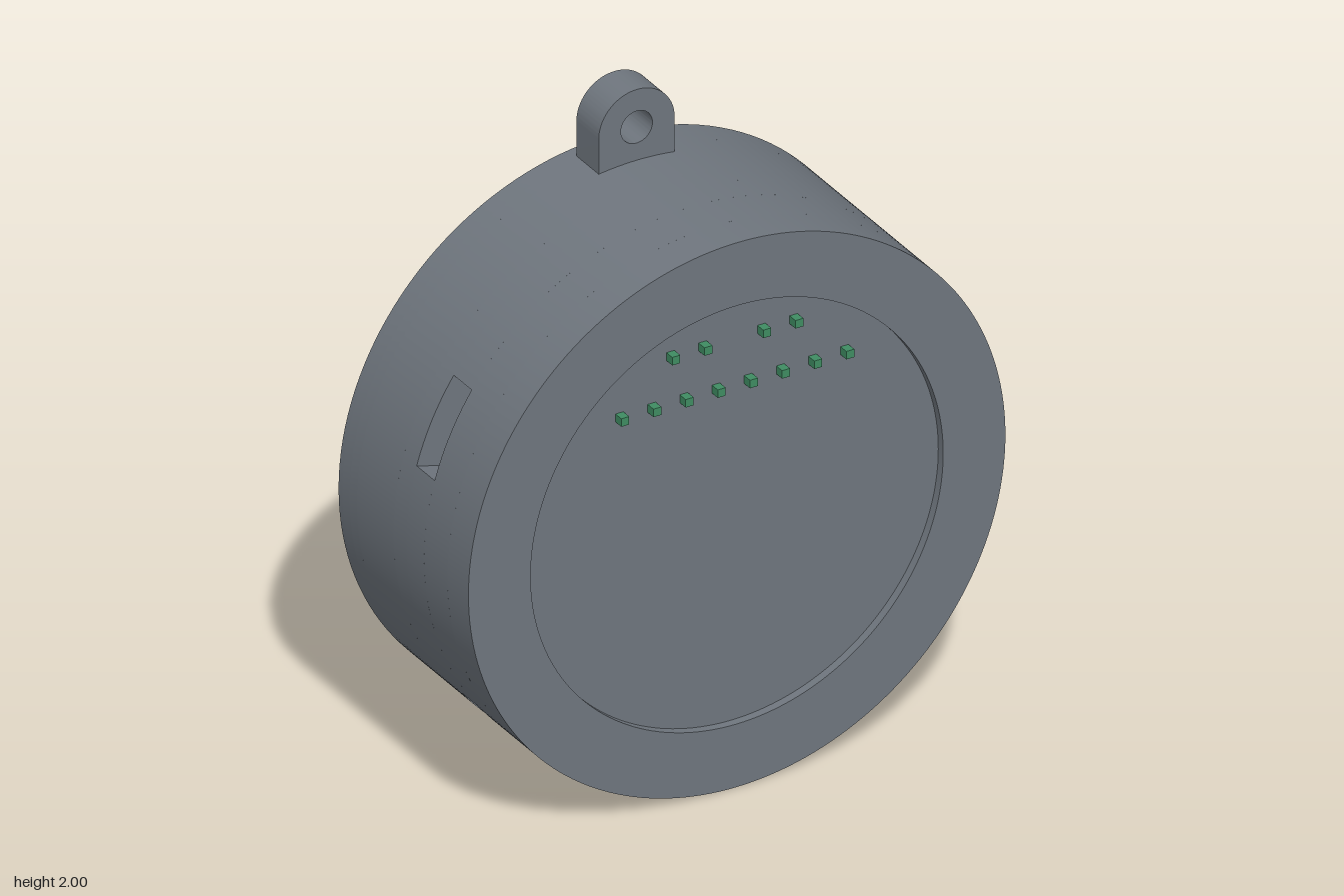
import * as THREE from 'three';
import { toCreasedNormals } from 'three/addons/utils/BufferGeometryUtils.js';

const R = 0.885, RI = 0.785, CY = 0.885, TAU = Math.PI * 2;

export function createModel() {
  const grey = new THREE.MeshStandardMaterial({ color: 0x6f767e });
  grey.name = 'slate grey plastic';
  const green = new THREE.MeshStandardMaterial({ color: 0x3f8c62 });
  green.name = 'circuit green';

  const model = new THREE.Group();
  model.name = 'roundDevice';

  const add = (name, geometry, material = grey) => {
    const mesh = new THREE.Mesh(geometry, material);
    mesh.name = name;
    model.add(mesh);
    return mesh;
  };
  const extrude = (name, shape, z0, z1, y = CY, segs = 96) => {
    const g = new THREE.ExtrudeGeometry(shape, { depth: z1 - z0, bevelEnabled: false, curveSegments: segs });
    g.translate(0, y, z0);
    return add(name, toCreasedNormals(g, 0.5));
  };
  const box = (name, x, y, z, w, h, d, material = grey) =>
    add(name, new THREE.BoxGeometry(w, h, d).translate(x, y, z), material);

  // Disc with round holes given as [x, y, radius] about the disc centre
  const disc = (holes) => {
    const s = new THREE.Shape().absarc(0, 0, R, 0, TAU, false);
    for (const [x, y, r] of holes) s.holes.push(new THREE.Path().absarc(x, y, r, 0, TAU, true));
    return s;
  };

  // Openings in the side wall: start and end angles on outer and inner radius
  const opening = (f) => ({ o: f(R), i: f(RI) });
  const rad = THREE.MathUtils.degToRad;
  const upperSlot = opening(() => [rad(145.4), rad(164)]);
  const lowLeftPort = opening((r) => [Math.PI + Math.asin(0.535 / r), Math.PI + Math.asin(0.665 / r)]);
  const lowRightPort = opening((r) => [TAU - Math.asin(0.665 / r), TAU - Math.asin(0.535 / r)]);
  const bottomCut = opening((r) => [Math.PI * 1.5 - Math.asin(0.27 / r), Math.PI * 1.5 + Math.asin(0.27 / r)]);

  // Side wall band, split into arcs between its openings
  const wall = (z0, z1, gaps) => {
    if (!gaps.length) return extrude('sideWall', disc([[0, 0, RI]]), z0, z1);
    gaps.forEach((g, k) => {
      const next = gaps[(k + 1) % gaps.length];
      const turn = k === gaps.length - 1 ? TAU : 0;
      const s = new THREE.Shape();
      s.absarc(0, 0, R, g.o[1], next.o[0] + turn, false);
      s.absarc(0, 0, RI, next.i[0] + turn, g.i[1], true);
      s.closePath();
      extrude('sideWall', s, z0, z1);
    });
  };
  wall(-0.255, -0.055, []);
  wall(-0.055, 0.015, [bottomCut]);
  wall(0.015, 0.113, [upperSlot, lowLeftPort, bottomCut, lowRightPort]);
  wall(0.113, 0.24, [bottomCut]);

  // Front bezel and sunken face
  extrude('frontBezel', disc([[0, 0, 0.68]]), 0.24, 0.355);
  add('frontFace', new THREE.CylinderGeometry(0.7, 0.7, 0.05, 96).rotateX(Math.PI / 2).translate(0, CY, 0.303));

  // Back plate: speaker grille, two counterbored screw holes, one small reset hole
  const grille = [];
  for (let c = 0; c < 6; c++)
    for (let r = 0; r < 4; r++) grille.push([0.193 - c * 0.084, 0.628 - r * 0.083, 0.023]);
  const back = (z0, z1, screwR, resetR) => extrude('backPlate', disc([
    ...grille, [0.483, 0.54, screwR], [-0.483, 0.54, screwR], [0.57, -0.065, resetR],
  ]), z0, z1, CY, 72);
  back(-0.355, -0.335, 0.088, 0.062);
  back(-0.335, -0.295, 0.088, 0.02);
  back(-0.295, -0.255, 0.05, 0.02);

  // Hanging lug
  const lug = new THREE.Shape();
  lug.moveTo(-0.125, 1.72);
  lug.lineTo(0.125, 1.72);
  lug.absarc(0, 1.875, 0.125, 0, Math.PI, false);
  lug.closePath();
  lug.holes.push(new THREE.Path().absarc(0, 1.878, 0.052, 0, TAU, true));
  extrude('hangingLug', lug, -0.315, -0.193, 0, 32);

  // Indicator pins on the front face
  const pin = (x, y) => box('indicatorPin', x, y, 0.337, 0.026, 0.026, 0.046, green);
  for (const x of [-0.203, -0.097, 0.097, 0.203]) pin(x, 1.45);
  for (let k = 0; k < 8; k++) pin(-0.371 + k * 0.106, 1.3);

  // Parts inside, seen through the openings
  box('circuitBoard', 0, 0.885, 0.045, 0.9, 1.22, 0.085, green);
  box('batteryHolder', 0, 0.2, 0.09, 0.56, 0.125, 0.29);
  box('sideSwitch', -0.66, 1.18, 0.045, 0.12, 0.12, 0.07);

  return model;
}
